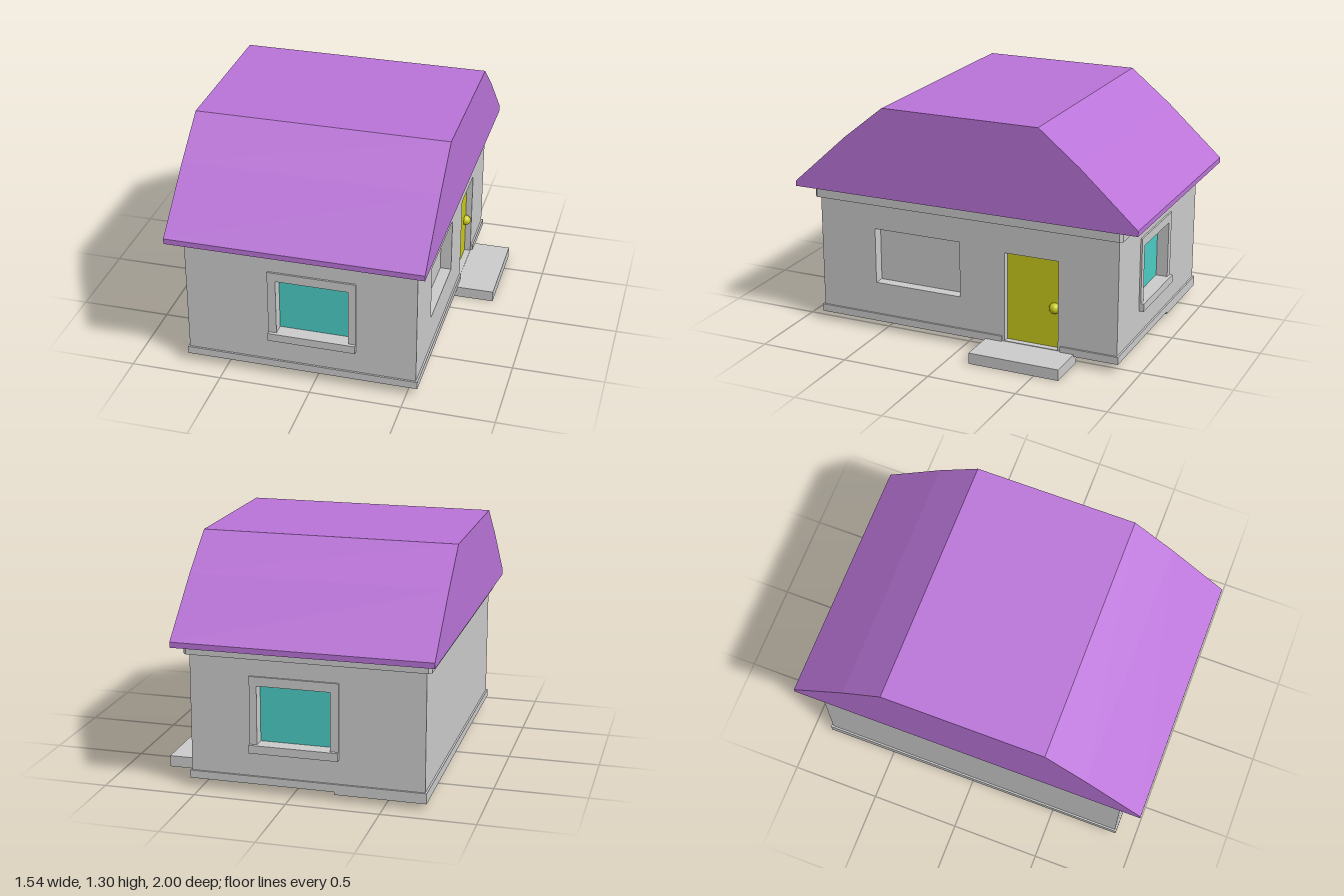
import * as THREE from 'three';

const mat = (color) => new THREE.MeshStandardMaterial({ color });
const grey = mat(0xcccccc), purple = mat(0xba74d8), teal = mat(0x4bcdc5), yellow = mat(0xc9c91b);

const poly = (pts) => new THREE.Shape(pts.map(([x, y]) => new THREE.Vector2(x, y)));
const rect = (x0, x1, y0, y1) => [[x0, y0], [x1, y0], [x1, y1], [x0, y1]];

export function createModel() {
  const house = new THREE.Group();
  house.name = 'house';

  const add = (name, geo, material = grey, parent = house) => {
    const m = new THREE.Mesh(geo, material);
    m.name = name;
    parent.add(m);
    return m;
  };
  // Box given by its limits on each axis
  const box = (name, x0, x1, y0, y1, z0, z1, material, parent) => {
    const m = add(name, new THREE.BoxGeometry(x1 - x0, y1 - y0, z1 - z0), material, parent);
    m.position.set((x0 + x1) / 2, (y0 + y1) / 2, (z0 + z1) / 2);
    return m;
  };
  // Upright panel with rectangular openings, front face at z = 0
  const panel = (outline, holes, depth) => {
    const s = poly(outline);
    holes.forEach((h) => s.holes.push(poly(h)));
    return new THREE.ExtrudeGeometry(s, { depth, bevelEnabled: false }).translate(0, 0, -depth);
  };

  // Front and back walls, each with a framed window
  const opening = rect(-0.21, 0.185, 0.27, 0.59);
  for (const [side, s] of [['front', 1], ['back', -1]]) {
    const wall = add(side + 'Wall', panel(rect(-0.71, 0.55, 0.05, 0.76), [opening], 0.07));
    wall.position.z = s > 0 ? 0.88 : -0.81;

    const win = new THREE.Group();
    win.name = side + 'Window';
    house.add(win);
    const frame = add('windowFrame', panel(rect(-0.255, 0.225, 0.23, 0.64), [opening], 0.012), grey, win);
    frame.position.z = s > 0 ? 0.89 : -0.878;
    const span = (a, b) => (s > 0 ? [a, b] : [-b, -a]);
    box('windowSill', -0.255, 0.225, 0.225, 0.27, ...span(0.87, 0.908), grey, win);
    box('windowGlass', -0.23, 0.2, 0.26, 0.6, ...span(0.8, 0.825), teal, win);
  }

  // Right wall (model's left) with a blind niche and the doorway
  const doorWall = add('doorWall', panel(rect(-0.81, 0.81, 0.05, 0.76),
    [rect(-0.545, -0.03, 0.275, 0.59), rect(0.235, 0.545, 0.065, 0.57)], 0.07));
  doorWall.rotation.y = Math.PI / 2;
  doorWall.position.x = 0.55;
  box('nichePanel', 0.46, 0.488, 0.26, 0.61, 0.01, 0.565);
  box('plainWall', -0.71, -0.64, 0.05, 0.76, -0.81, 0.81);

  // Door, knob and step
  box('door', 0.485, 0.515, 0.06, 0.58, -0.55, -0.23, yellow);
  add('doorKnob', new THREE.SphereGeometry(0.03, 20, 14), yellow).position.set(0.521, 0.29, -0.512);
  box('doorStep', 0.52, 0.77, 0, 0.062, -0.64, -0.125);

  // Floor and plinth, broken at the doorway
  box('floor', -0.71, 0.55, 0.05, 0.065, -0.87, 0.87);
  box('frontPlinth', -0.72, 0.56, 0.05, 0.092, 0.87, 0.89);
  box('backPlinth', -0.72, 0.56, 0.05, 0.092, -0.89, -0.87);
  box('plainSidePlinth', -0.72, -0.7, 0.05, 0.092, -0.87, 0.87);
  box('doorSidePlinthFront', 0.54, 0.56, 0.05, 0.092, -0.22, 0.87);
  box('doorSidePlinthBack', 0.54, 0.56, 0.05, 0.092, -0.87, -0.56);

  // Shallow wedge under the rear corner of the floor
  const wedge = add('floorWedge', new THREE.ExtrudeGeometry(
    poly([[-0.5, 0.05], [0.89, 0.035], [0.89, 0.05]]), { depth: 0.49, bevelEnabled: false }));
  wedge.rotation.y = Math.PI / 2;
  wedge.position.x = -0.72;

  // Cornice band with clipped corners
  const c = 0.016, x0 = -0.738, x1 = 0.578, z = 0.905;
  const band = poly([[x0 + c, -z], [x1 - c, -z], [x1, -z + c], [x1, z - c],
    [x1 - c, z], [x0 + c, z], [x0, z - c], [x0, -z + c]]);
  const cornice = add('cornice', new THREE.ExtrudeGeometry(band, { depth: 0.06, bevelEnabled: false }));
  cornice.rotation.x = -Math.PI / 2;
  cornice.position.y = 0.736;

  // Roof: gambrel-like profile swept along x
  const half = [[1, 0.795], [1, 0.825], [0.68, 1.115], [0.45, 1.3]];
  const profile = [...half, ...half.map(([a, b]) => [-a, b]).reverse()];
  const roof = add('roof', new THREE.ExtrudeGeometry(poly(profile), { depth: 1.385, bevelEnabled: false }), purple);
  roof.rotation.y = Math.PI / 2;
  roof.position.x = -0.773;

  return house;
}
